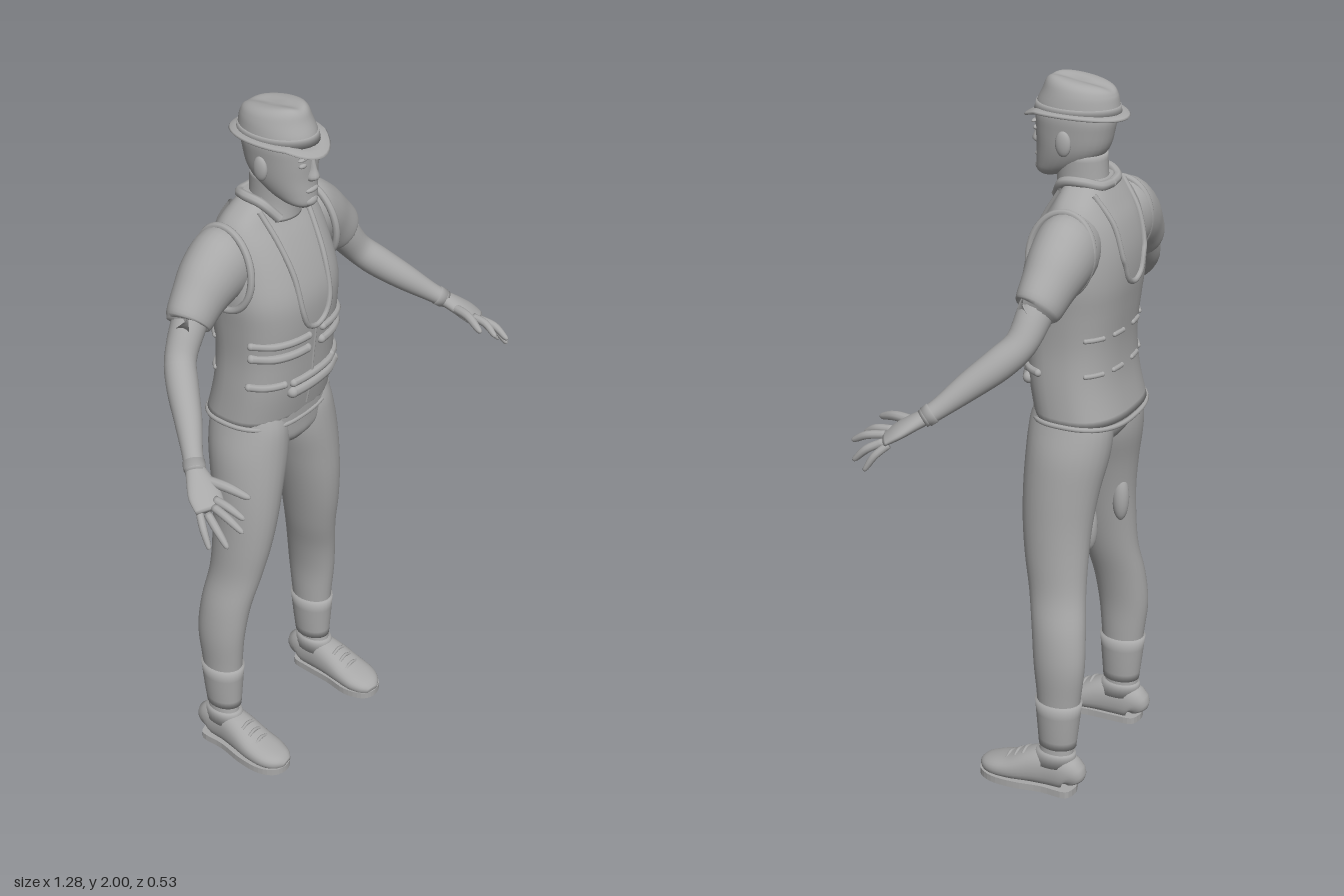
import * as THREE from 'three';

const grey = new THREE.MeshStandardMaterial({ color: 0xa8a8a8, side: THREE.DoubleSide });
grey.name = 'clay grey';
const V = (x, y, z) => new THREE.Vector3(x, y, z);

// Smooth interpolation through rows of numbers
function smooth(rows, steps) {
  const out = [], last = rows.length - 1;
  for (let i = 0; i < last; i++) {
    const [p, q, r, s] = [rows[Math.max(i - 1, 0)], rows[i], rows[i + 1], rows[Math.min(i + 2, last)]];
    for (let k = 0; k < steps; k++) {
      const t = k / steps;
      out.push(q.map((_, c) => q[c] + 0.5 * t * (r[c] - p[c] + t * (2 * p[c] - 5 * q[c] + 4 * r[c] - s[c]
        + t * (3 * (q[c] - r[c]) + s[c] - p[c])))));
    }
  }
  out.push(rows[last]);
  return out;
}

// Skin over cross-sections [x, y, z, halfA, halfB]; rings lie flat or follow the path
function loft(name, rows, { follow = false, power = 2, steps = 4, n = 28 } = {}) {
  const secs = smooth(rows, steps), pos = [], idx = [];
  const pow = c => Math.sign(c) * Math.abs(c) ** (2 / power);
  secs.forEach((s, i) => {
    const a = secs[Math.max(i - 1, 0)], b = secs[Math.min(i + 1, secs.length - 1)];
    const t = follow ? V(b[0] - a[0], b[1] - a[1], b[2] - a[2]).normalize() : V(0, 1, 0);
    const ref = follow ? V(0, 1, 0) : V(1, 0, 0);
    const u = ref.addScaledVector(t, -ref.dot(t)).normalize(), v = t.clone().cross(u);
    for (let j = 0; j < n; j++) {
      const th = j / n * Math.PI * 2;
      pos.push(...V(s[0], s[1], s[2]).addScaledVector(u, s[3] * pow(Math.cos(th)))
        .addScaledVector(v, s[4] * pow(Math.sin(th))).toArray());
      if (i < secs.length - 1) {
        const p = i * n + j, q = i * n + (j + 1) % n;
        idx.push(p, q, p + n, q, q + n, p + n);
      }
    }
  });
  const top = (secs.length - 1) * n, c = pos.length / 3, e = secs[secs.length - 1];
  pos.push(...secs[0].slice(0, 3), ...e.slice(0, 3));
  for (let j = 0; j < n; j++) {
    const k = (j + 1) % n;
    idx.push(c, k, j, c + 1, top + j, top + k);
  }
  const g = new THREE.BufferGeometry();
  g.setAttribute('position', new THREE.Float32BufferAttribute(pos, 3));
  g.setIndex(idx);
  g.computeVertexNormals();
  return mesh(name, g);
}
function mesh(name, g) {
  const m = new THREE.Mesh(g, grey);
  m.name = name;
  return m;
}
// Upright section from height, half width, front z and back z
const up = (y, a, f, b, x = 0) => [x, y, (f + b) / 2, a, (f - b) / 2];
const tube = (name, pts, r, closed = false) =>
  mesh(name, new THREE.TubeGeometry(new THREE.CatmullRomCurve3(pts, closed), 48, r, 8, closed));
function blob(name, x, y, z, rx, ry, rz) {
  const m = mesh(name, new THREE.SphereGeometry(1, 18, 12));
  m.position.set(x, y, z);
  m.scale.set(rx, ry, rz);
  return m;
}

const vestRows = [up(1.1, .183, -.005, -.262), up(1.2, .177, .015, -.24), up(1.3, .172, .025, -.235),
  up(1.4, .178, .035, -.245), up(1.48, .185, .033, -.254), up(1.56, .18, .008, -.252),
  up(1.63, .172, -.025, -.235), up(1.68, .152, -.055, -.21), up(1.715, .112, -.07, -.19), up(1.74, .07, -.08, -.175)];
const vestDense = smooth(vestRows, 12), vestPower = 2.5;
// Point on the vest surface, front (side 1) or back (side -1)
function onVest(x, y, side, lift = 0) {
  const s = vestDense.reduce((m, r) => Math.abs(r[1] - y) < Math.abs(m[1] - y) ? r : m);
  const k = (1 - Math.min(1, Math.abs(x / s[3])) ** vestPower) ** (1 / vestPower);
  return V(x, y, s[2] + side * (s[4] * k + lift));
}

export function createModel() {
  const model = new THREE.Group();
  const add = (...m) => model.add(...m);

  // Vest and trouser top
  add(loft('vest', vestRows, { power: vestPower, n: 40 }));
  add(loft('trouserSeat', [up(1.0, .06, -.03, -.19), up(1.03, .13, -.008, -.22), up(1.07, .178, -.004, -.235), up(1.14, .17, 0, -.23)], { power: 2.4 }));
  const hem = [];
  for (let i = 0; i < 24; i++) {
    const t = i / 24 * Math.PI * 2, c = Math.cos(t), s = Math.sin(t);
    hem.push(V(.184 * Math.sign(c) * Math.abs(c) ** .8, 1.1 - .012 * s * s, -.133 + .128 * Math.sign(s) * Math.abs(s) ** .8));
  }
  add(tube('vestHem', hem, .007, true));

  // Neckline cords on front and back
  for (const [side, low] of [[1, 1.385], [-1, 1.47]]) {
    const half = [[.086, 1.715], [.074, 1.64], [.064, 1.55], [.055, low + .06], [.035, low + .015]];
    const pts = [...half, [0, low], ...half.map(([x, y]) => [-x, y]).reverse()];
    add(tube(side > 0 ? 'frontNecklineCord' : 'backNecklineCord', pts.map(([x, y]) => onVest(x, y, side, .002)), .008));
  }
  add(tube('vestZip', [1.13, 1.2, 1.3, 1.375].map(y => onVest(0, y, 1)), .004));

  // Straps and pouches
  const strap = (name, x0, x1, y, side, r) =>
    add(tube(name, [0, .25, .5, .75, 1].map(t => onVest(x0 + (x1 - x0) * t, y, side)), r),
      ...[x0, x1].map(x => { const p = onVest(x, y, side); return blob(name + 'End', p.x, p.y, p.z, r, r, r); }));
  for (const s of [-1, 1]) {
    strap('upperStrap', s * .03, s * .168, 1.365, 1, .011);
    strap('lowerStrap', s * .03, s * .165, 1.325, 1, .013);
    strap('sidePocketFlap', s * .1, s * .168, 1.235, 1, .011);
    for (const y of [1.34, 1.24]) for (const x of [.05, .13]) strap('backLoop', s * (x - .02), s * (x + .02), y, -1, .007);
  }
  strap('pouchFlap', -.07, .13, 1.23, 1, .012);
  strap('pouch', -.07, .13, 1.2, 1, .017);

  // Neck, collar and head
  add(loft('neck', [up(1.68, .075, -.035, -.18), up(1.72, .06, -.035, -.175), up(1.8, .06, -.03, -.17)]));
  add(loft('head', [up(1.728, .022, .012, -.03), up(1.742, .044, .024, -.07), up(1.77, .06, .024, -.13),
    up(1.81, .072, .022, -.172), up(1.86, .078, .024, -.188), up(1.9, .08, .022, -.192), up(1.94, .07, 0, -.17)], { power: 2.15 }));
  add(loft('nose', [up(1.805, .012, .026, 0), up(1.816, .018, .041, 0), up(1.84, .01, .034, 0), up(1.87, .008, .026, 0)], { n: 12 }));
  add(blob('lips', 0, 1.78, .019, .024, .008, .01), blob('chin', 0, 1.748, .012, .025, .016, .018));
  for (const s of [-1, 1]) {
    add(blob('ear', s * .078, 1.835, -.085, .012, .034, .022));
    add(blob('eye', s * .03, 1.855, .014, .014, .007, .008));
    add(blob('eyebrow', s * .031, 1.874, .016, .02, .005, .008));
    add(tube('collar', [V(s * .045, 1.69, -.05), V(s * .076, 1.735, -.085), V(s * .078, 1.742, -.14), V(s * .05, 1.73, -.178), V(0, 1.725, -.186)], .013));
  }

  // Hat with a creased crown and bent brim
  const brim = loft('hatBrim', [up(1.898, .07, .02, -.2), up(1.901, .1, .054, -.226), up(1.908, .1, .054, -.226), up(1.914, .08, .025, -.205)], { steps: 2, n: 40 });
  const crown = loft('hatCrown', [up(1.905, .086, .026, -.206), up(1.93, .083, .02, -.202), up(1.96, .076, .005, -.196),
    up(1.983, .066, -.005, -.188), up(1.995, .05, -.02, -.17), up(1.997, .025, -.05, -.14)], { n: 40 });
  const bend = (m, rule) => {
    const p = m.geometry.attributes.position;
    for (let i = 0; i < p.count; i++) p.setY(i, p.getY(i) + rule(p.getX(i), p.getY(i), p.getZ(i)));
    m.geometry.computeVertexNormals();
  };
  bend(brim, (x, y, z) => .9 * x * x - .35 * Math.max(0, z) - .003);
  bend(crown, (x, y, z) => y < 1.95 ? 0 : (y - 1.95) / .05 * (.14 * z + .007 - .008 * Math.exp(-((x / .02) ** 2))));
  add(brim, crown);
  const band = loft('hatBand', [up(1.905, .088, .029, -.208), up(1.928, .085, .023, -.204)], { steps: 1, n: 40 });
  add(band);

  for (const s of [-1, 1]) {
    const limb = (name, rows, o) => add(loft(name, rows.map(([x, ...r]) => [s * x, ...r]), { follow: true, ...o }));
    const column = (name, rows, o) => add(loft(name, rows.map(r => up(r[0], (r[2] - r[1]) / 2, r[3], r[4], s * (r[1] + r[2]) / 2)), o));

    // Armhole trim, sleeve and arm
    const hole = [];
    for (let i = 0; i < 20; i++) {
      const t = i / 20 * Math.PI * 2;
      hole.push(V(s * (.176 - .012 * Math.sin(t)), 1.575 + .112 * Math.sin(t), -.128 + .09 * Math.cos(t) - .01 * Math.sin(t)));
    }
    add(tube('armholeTrim', hole, .01, true));
    limb('sleeve', [[.1, 1.605, -.14, .07, .07], [.16, 1.59, -.142, .1, .084], [.22, 1.56, -.142, .092, .08],
      [.27, 1.522, -.139, .078, .069], [.313, 1.482, -.134, .068, .06], [.318, 1.477, -.133, .054, .05]]);
    limb('arm', [[.27, 1.522, -.137, .05, .046], [.32, 1.468, -.13, .049, .046], [.37, 1.402, -.115, .042, .042], [.41, 1.355, -.075, .043, .042],
      [.46, 1.302, -.015, .037, .036], [.51, 1.252, .04, .027, .027], [.54, 1.225, .075, .023, .026]]);
    limb('cuffBand', [[.523, 1.24, .055, .027, .029], [.535, 1.229, .069, .026, .029]], { steps: 1 });

    // Hand
    limb('palm', [[.533, 1.232, .066, .02, .024], [.552, 1.212, .1, .019, .036], [.568, 1.192, .13, .017, .044], [.582, 1.17, .16, .012, .04]]);
    const fingers = [[.535, 1.212, .105, .503, 1.19, .222, .013], [.56, 1.188, .155, .55, 1.16, .242, .011], [.576, 1.178, .165, .58, 1.145, .262, .011],
      [.594, 1.165, .16, .614, 1.107, .24, .011], [.602, 1.165, .14, .634, 1.095, .197, .01]];
    fingers.forEach(([x, y, z, X, Y, Z, r], i) => limb(i ? 'finger' : 'thumb', [[x, y, z, r, r],
      [(x + X) / 2 + .004, (y + Y) / 2 + .008, (z + Z) / 2, r, r], [x + (X - x) * .9, y + (Y - y) * .9, z + (Z - z) * .9, r * .7, r * .7], [X, Y, Z, r * .2, r * .2]], { n: 10 }));

    // Trouser leg: height, inner x, outer x, front z, back z
    column('trouserLeg', [[.15, .168, .246, -.09, -.19], [.22, .162, .252, -.083, -.197], [.3, .158, .256, -.078, -.206],
      [.4, .153, .261, -.068, -.217], [.5, .135, .251, -.056, -.212], [.6, .108, .228, -.036, -.2], [.7, .084, .221, -.016, -.198],
      [.8, .06, .217, -.004, -.202], [.9, .034, .213, 0, -.215], [1.0, .004, .204, 0, -.234], [1.08, .002, .184, -.004, -.238], [1.13, .01, .17, -.02, -.22]]);
    column('trouserCuff', [[.142, .164, .25, -.084, -.193], [.2, .158, .256, -.08, -.2], [.285, .153, .261, -.073, -.21]], { steps: 2 });
    add(blob('thighPatch', s * .1, .78, -.178, .024, .07, .024));

    // Ankle and shoe
    column('ankle', [[.05, .17, .25, -.08, -.19], [.11, .175, .248, -.085, -.188], [.17, .178, .244, -.095, -.185]]);
    limb('shoe', [[.212, .036, -.198, .026, .024], [.212, .06, -.18, .052, .04], [.212, .066, -.12, .058, .045], [.214, .06, -.07, .052, .05],
      [.216, .044, -.01, .037, .056], [.214, .035, .04, .029, .055], [.208, .028, .075, .022, .04], [.205, .022, .093, .012, .018]], { power: 2.3 });
    column('shoeCollar', [[.085, .165, .258, -.06, -.196], [.125, .17, .253, -.08, -.194]], { steps: 1 });
    const outline = new THREE.Shape(new THREE.SplineCurve([[0, .2], [.04, .185], [.043, .11], [.058, .03], [.058, -.04], [.034, -.085], [-.008, -.096],
      [-.042, -.075], [-.057, -.02], [-.047, .05], [-.043, .13], [-.036, .185], [0, .2]].map(([x, y]) => new THREE.Vector2(.215 * s + s * x, y))).getPoints(48));
    const sole = mesh('shoeSole', new THREE.ExtrudeGeometry(outline, { depth: .02, bevelEnabled: false }));
    sole.rotation.x = -Math.PI / 2;
    add(sole);
    for (const [z, y] of [[-.045, .106], [-.02, .092], [.005, .078]])
      add(tube('shoelace', [V(s * .19, y - .008, z), V(s * .215, y, z), V(s * .24, y - .008, z)], .005));
  }
  return model;
}
